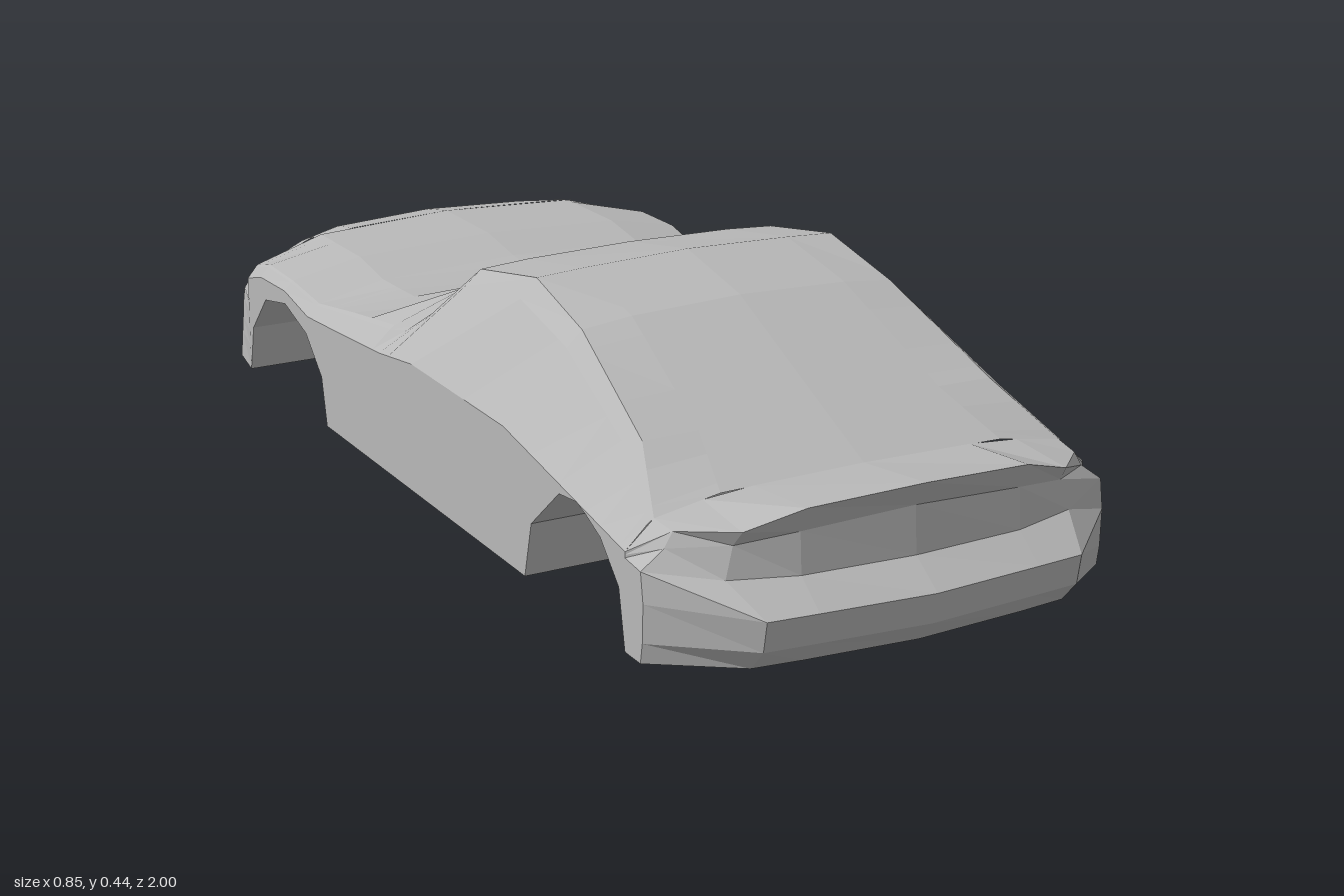
import * as THREE from 'three';

const paint = new THREE.MeshStandardMaterial({ color: 0xb8b8b8 });
paint.name = 'grey body paint';

// Faceted skin over rows of [x, y, z] points
function skin(rows, name) {
  const n = rows[0].length, index = [];
  for (let i = 0; i < rows.length - 1; i++) {
    for (let j = 0; j < n - 1; j++) {
      const a = i * n + j, b = a + 1, d = a + n, c = d + 1;
      index.push(a, d, c, a, c, b);
    }
  }
  const indexed = new THREE.BufferGeometry();
  indexed.setAttribute('position', new THREE.Float32BufferAttribute(rows.flat(2), 3));
  indexed.setIndex(index);
  const geometry = indexed.toNonIndexed();
  geometry.computeVertexNormals();
  const mesh = new THREE.Mesh(geometry, paint);
  mesh.name = name;
  return mesh;
}

const flip = ([x, y, z]) => [-x, y, z];

// Value of a curve of [z, value] knots, with z falling
function at(curve, z) {
  let i = 0;
  while (i < curve.length - 2 && z < curve[i + 1][0]) i++;
  const [z0, v0] = curve[i], [z1, v1] = curve[i + 1];
  return v0 + (v1 - v0) * THREE.MathUtils.clamp((z - z0) / (z1 - z0), 0, 1);
}

// Long curves of the body: heights and half width against z
const centre = [[0.78, 0.235], [0.39, 0.405], [0.21, 0.438], [0, 0.397], [-0.33, 0.245],
  [-0.47, 0.25], [-0.58, 0.267], [-0.77, 0.265]];
const middle = [[0.78, 0.23], [0.39, 0.398], [0.21, 0.432], [0, 0.393], [-0.26, 0.247],
  [-0.47, 0.24], [-0.58, 0.256], [-0.77, 0.252]];
const edgeY = [[0.78, 0.21], [0.65, 0.285], [0.39, 0.388], [0.21, 0.427], [0, 0.387], [-0.14, 0.255],
  [-0.33, 0.232], [-0.47, 0.212], [-0.58, 0.228], [-0.7, 0.227], [-0.77, 0.21]];
const edgeX = [[0.78, 0.375], [0.65, 0.325], [0.39, 0.295], [0.21, 0.287], [0, 0.29], [-0.1, 0.325],
  [-0.17, 0.38], [-0.47, 0.4], [-0.58, 0.407], [-0.77, 0.403]];
const belt = [[0.78, 0.165], [0.36, 0.235], [0, 0.235], [-0.14, 0.215], [-0.33, 0.2],
  [-0.47, 0.19], [-0.58, 0.21], [-0.7, 0.205], [-0.77, 0.185]];
// Underside, cut by the two wheel arches
const under = [[0.78, 0], [0.76, 0.1], [0.7, 0.16], [0.62, 0.195], [0.56, 0.185], [0.46, 0.1], [0.435, 0],
  [-0.39, 0], [-0.41, 0.09], [-0.48, 0.155], [-0.58, 0.185], [-0.68, 0.165], [-0.75, 0.09], [-0.77, 0]];

function section(z) {
  const ex = at(edgeX, z), ey = at(edgeY, z), by = at(belt, z);
  const u = at(under, z), bulge = 0.05 * Math.max(0, ey - by);
  const half = [
    [0, at(centre, z), z],
    [Math.min(0.27, ex * 0.69), at(middle, z), z],
    [ex, ey, z],
    [ex + (0.425 - ex) * 0.22, ey + (by - ey) * 0.22 + bulge, z],
    [0.425, by, z],
    [0.425, Math.min(by, Math.max(u, 0.17)), z],
    [0.425, u, z],
    [0, u, z],
  ];
  return [...half, ...half.slice(0, -1).reverse().map(flip)];
}

// End pieces: each row runs from the middle out to the side
const frontRows = [
  [[0, 0.235, 0.78], [0.2, 0.232, 0.78], [0.29, 0.225, 0.78], [0.375, 0.21, 0.78], [0.425, 0.165, 0.78]],
  [[0, 0.26, 0.957], [0.2, 0.249, 0.94], [0.295, 0.217, 0.91], [0.37, 0.205, 0.83], [0.425, 0.16, 0.78]],
  [[0, 0.215, 0.93], [0.2, 0.205, 0.92], [0.3, 0.19, 0.89], [0.385, 0.18, 0.83], [0.425, 0.155, 0.78]],
  [[0, 0.134, 0.935], [0.2, 0.135, 0.925], [0.315, 0.138, 0.895], [0.425, 0.15, 0.83], [0.425, 0.15, 0.78]],
  [[0, 0.093, 0.997], [0.2, 0.093, 0.98], [0.287, 0.093, 0.972], [0.425, 0.1, 0.838], [0.425, 0.1, 0.78]],
  [[0, 0.04, 0.987], [0.2, 0.04, 0.97], [0.287, 0.04, 0.962], [0.425, 0.035, 0.836], [0.425, 0.035, 0.78]],
  [[0, 0, 0.95], [0.2, 0, 0.935], [0.287, 0, 0.925], [0.425, 0, 0.83], [0.425, 0, 0.78]],
  [[0, 0, 0.78], [0.2, 0, 0.78], [0.287, 0, 0.78], [0.36, 0, 0.78], [0.425, 0, 0.78]],
];
const backRows = [
  [[0, 0.265, -0.77], [0.2, 0.256, -0.77], [0.28, 0.252, -0.77], [0.403, 0.21, -0.77], [0.425, 0.185, -0.77]],
  [[0, 0.245, -0.865], [0.2, 0.238, -0.855], [0.28, 0.222, -0.845], [0.39, 0.18, -0.825], [0.425, 0.17, -0.77]],
  [[0, 0.14, -0.973], [0.2, 0.147, -0.94], [0.285, 0.15, -0.915], [0.4, 0.14, -0.855], [0.425, 0.14, -0.77]],
  [[0, 0.13, -0.925], [0.2, 0.137, -0.9], [0.275, 0.137, -0.885], [0.403, 0.12, -0.855], [0.425, 0.12, -0.77]],
  [[0, 0.07, -0.925], [0.2, 0.072, -0.9], [0.275, 0.075, -0.885], [0.405, 0.08, -0.857], [0.425, 0.08, -0.77]],
  [[0, 0.05, -0.962], [0.2, 0.052, -0.937], [0.285, 0.055, -0.915], [0.407, 0.05, -0.858], [0.425, 0.05, -0.77]],
  [[0, 0, -1], [0.2, 0, -0.973], [0.29, 0, -0.96], [0.41, 0, -0.86], [0.425, 0, -0.77]],
  [[0, 0, -0.77], [0.2, 0, -0.77], [0.29, 0, -0.77], [0.36, 0, -0.77], [0.425, 0, -0.77]],
];
const across = (row) => [...row.slice(1).reverse().map(flip), ...row];

export function createModel() {
  const group = new THREE.Group();
  group.name = 'car body';
  const curves = [centre, middle, edgeY, edgeX, belt, under];
  const stations = [...new Set(curves.flat().map((k) => k[0]))].sort((a, b) => a - b);
  group.add(skin(stations.map(section), 'cabin and fenders'));
  group.add(skin(frontRows.map(across), 'front bumper and lip'));
  group.add(skin(backRows.map((r) => across(r).reverse()), 'back bumper and grille'));
  return group;
}
